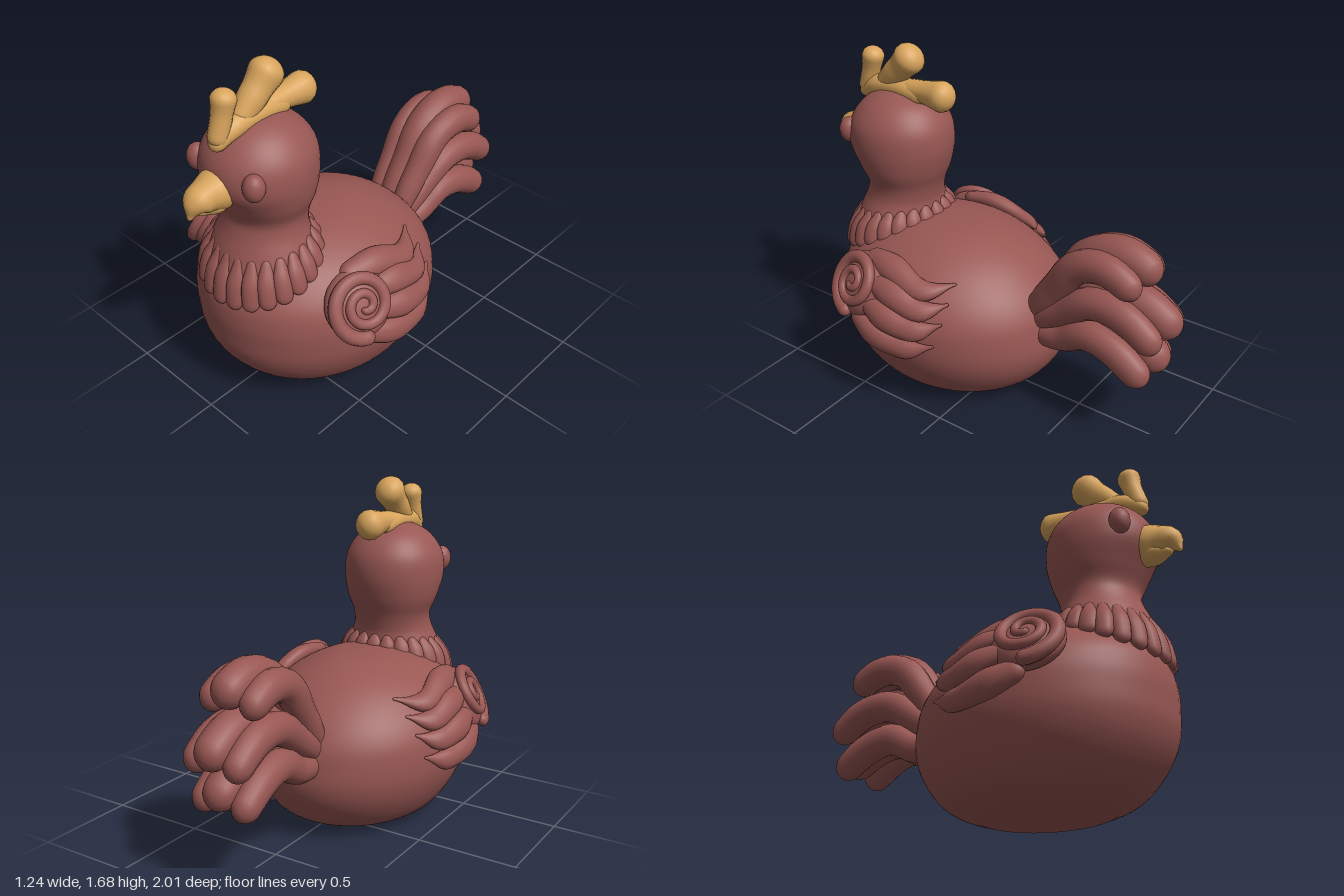
import * as THREE from 'three';

const V = (x, y, z) => new THREE.Vector3(x, y, z);
const red = new THREE.MeshStandardMaterial({ color: 0x985753 });
red.name = 'clayRed';
const gold = new THREE.MeshStandardMaterial({ color: 0xd8a45c });
gold.name = 'ochre';

// Smooth skin over a list of closed rings (counterclockwise around the direction of travel).
function skin(rings) {
  const n = rings[0].length, pos = [], idx = [];
  rings.forEach(r => r.forEach(p => pos.push(p.x, p.y, p.z)));
  for (let i = 0; i < rings.length - 1; i++) for (let j = 0; j < n; j++) {
    const a = i * n + j, b = i * n + (j + 1) % n;
    idx.push(a, b, a + n, b, b + n, a + n);
  }
  const g = new THREE.BufferGeometry();
  g.setAttribute('position', new THREE.Float32BufferAttribute(pos, 3));
  g.setIndex(idx);
  g.computeVertexNormals();
  return g;
}

function add(parent, name, geometry, material) {
  const m = new THREE.Mesh(geometry, material);
  m.name = name;
  parent.add(m);
  return m;
}

// A station is [frontY, frontZ, backY, backZ, halfWidth].
function stationPoint([yF, zF, yB, zB, w], a) {
  const c = Math.cos(a) / 2;
  return V(w * Math.sin(a), (yF + yB) / 2 + c * (yF - yB), (zF + zB) / 2 + c * (zF - zB));
}

function loft(stations, steps, sides) {
  const front = new THREE.CatmullRomCurve3(stations.map(s => V(s[4], s[0], s[1])), false, 'catmullrom');
  const back = new THREE.CatmullRomCurve3(stations.map(s => V(s[4], s[2], s[3])), false, 'catmullrom');
  const rings = [];
  for (let i = 0; i <= steps; i++) {
    const f = front.getPoint(i / steps), b = back.getPoint(i / steps);
    const st = [f.y, f.z, b.y, b.z, Math.max(f.x, 0)];
    rings.push(Array.from({ length: sides }, (_, j) => stationPoint(st, j / sides * Math.PI * 2)));
  }
  return skin(rings);
}

// Rounded tapering sweep; depth scales the section along ref.
function sweep(points, radii, ref, depth = 1, steps = 30, sides = 16) {
  const curve = new THREE.CatmullRomCurve3(points), len = curve.getLength(), rings = [];
  const cap = (d, r) => d >= r ? 1 : Math.sqrt(Math.max(0, 1 - (1 - d / r) ** 2));
  for (let i = 0; i <= steps; i++) {
    const u = (1 - Math.cos(Math.PI * i / steps)) / 2;
    const k = u * (radii.length - 1), i0 = Math.min(Math.floor(k), radii.length - 2);
    const r0 = THREE.MathUtils.lerp(radii[i0], radii[i0 + 1], THREE.MathUtils.smoothstep(k - i0, 0, 1));
    const r = Math.max(r0 * cap(u * len, r0) * cap((1 - u) * len, r0), 0.0005);
    const p = curve.getPointAt(u), t = curve.getTangentAt(u);
    const n = ref.clone().addScaledVector(t, -ref.dot(t)).normalize();
    const b = t.clone().cross(n);
    rings.push(Array.from({ length: sides }, (_, j) => {
      const a = j / sides * Math.PI * 2;
      return p.clone().addScaledVector(n, Math.cos(a) * r * depth).addScaledVector(b, Math.sin(a) * r);
    }));
  }
  return skin(rings);
}

const flat = (y, zF, zB, w) => [y, zF, y, zB, w];
const bodyStations = [
  flat(0, 0.60, -0.07, 0.28), flat(0.04, 0.69, -0.18, 0.37), flat(0.1, 0.765, -0.26, 0.435),
  flat(0.2, 0.84, -0.33, 0.495), flat(0.3, 0.88, -0.36, 0.53), flat(0.4, 0.89, -0.355, 0.54),
  flat(0.5, 0.89, -0.33, 0.53), flat(0.6, 0.865, -0.265, 0.485), flat(0.7, 0.78, -0.155, 0.395),
  flat(0.77, 0.67, -0.03, 0.285), flat(0.815, 0.53, 0.11, 0.155), flat(0.83, 0.3, 0.3, 0),
];

// Point on the flank at height y and depth z, raised by h along the surface normal.
function flank(y, z, h = 0) {
  const at = (yy, zz) => {
    let i = 0;
    while (i < bodyStations.length - 2 && bodyStations[i + 1][0] < yy) i++;
    const A = bodyStations[i], B = bodyStations[i + 1], k = (yy - A[0]) / (B[0] - A[0]);
    const [, f, , b, w] = A.map((v, j) => v + (B[j] - v) * k);
    const q = (zz - (f + b) / 2) / ((f - b) / 2);
    return V(w * Math.sqrt(Math.max(0, 1 - q * q)), yy, zz);
  };
  const e = 0.03;
  const normal = at(y + e, z).sub(at(y - e, z)).cross(at(y, z + e).sub(at(y, z - e))).normalize();
  return { p: at(y, z).addScaledVector(normal, h), normal };
}

function makeWing(s, name) {
  const wing = new THREE.Group();
  wing.name = name;
  const side = v => V(v.x * s, v.y, v.z);

  // shoulder dome
  const { p: c, normal: n } = flank(0.59, 0.48, 0.01);
  const e1 = V(0, 0, 1).addScaledVector(n, -n.z).normalize();
  const e2 = e1.clone().cross(n).negate().normalize();
  if (e2.y < 0) e2.negate();
  const dome = add(wing, 'shoulder', new THREE.SphereGeometry(1, 32, 20), red);
  dome.position.copy(side(c));
  dome.quaternion.setFromUnitVectors(V(0, 0, 1), side(n));
  dome.scale.set(0.165, 0.165, 0.075);

  // spiral curl
  const curl = [];
  for (let i = 0; i <= 36; i++) {
    const k = i / 36, a = -Math.PI / 2 + k * Math.PI * 4.4, r = 0.145 * (1 - k) + 0.012;
    const h = 0.066 * Math.sqrt(1 - (r / 0.175) ** 2) + 0.008;
    curl.push(side(c.clone().addScaledVector(e1, r * Math.cos(a)).addScaledVector(e2, r * Math.sin(a)).addScaledVector(n, h)));
  }
  add(wing, 'shoulderCurl', sweep(curl, [0.036, 0.034, 0.03, 0.024, 0.02], side(n), 0.9, 110, 12), red);

  // overlapping feathers, each path as [z, y]
  const feathers = [
    [[0.50, 0.69], [0.32, 0.69], [0.14, 0.645], [0.01, 0.68]],
    [[0.42, 0.62], [0.27, 0.61], [0.12, 0.575], [0.00, 0.61]],
    [[0.42, 0.54], [0.27, 0.51], [0.12, 0.49], [0.00, 0.53]],
    [[0.49, 0.46], [0.34, 0.41], [0.17, 0.385], [0.02, 0.425]],
  ];
  feathers.forEach(path => {
    const pts = path.map(([z, y], i) => side(flank(y, z, [0.035, 0.035, 0.025, 0.02][i]).p));
    const ref = side(flank(path[1][1], path[1][0]).normal);
    add(wing, 'wingFeather', sweep(pts, [0.05, 0.068, 0.056, 0.008], ref, 0.7), red);
  });
  return wing;
}

export function createModel() {
  const model = new THREE.Group();
  model.name = 'hen';
  const X = V(1, 0, 0);
  const path = (x, list) => list.map(([y, z]) => V(x, y, z));

  // body and flat base
  add(model, 'body', loft(bodyStations, 66, 64), red);
  const base = add(model, 'base', new THREE.CircleGeometry(1, 64), red);
  base.rotation.x = Math.PI / 2;
  base.position.set(0, 0, 0.265);
  base.scale.set(0.28, 0.335, 1);

  // neck and head in one skin
  add(model, 'neckAndHead', loft([
    [0.50, 0.78, 0.66, 0.45, 0.2], [0.62, 0.865, 0.77, 0.385, 0.275], [0.71, 0.86, 0.81, 0.39, 0.27],
    [0.81, 0.825, 0.87, 0.40, 0.235], flat(0.91, 0.78, 0.40, 0.208), flat(0.98, 0.768, 0.385, 0.207),
    flat(1.07, 0.81, 0.352, 0.24), flat(1.18, 0.865, 0.33, 0.258), flat(1.29, 0.855, 0.343, 0.246),
    flat(1.38, 0.79, 0.405, 0.185), flat(1.432, 0.70, 0.50, 0.1), flat(1.45, 0.6, 0.6, 0),
  ], 66, 56), red);

  // scalloped neck ruff
  const ruff = new THREE.Group();
  ruff.name = 'neckRuff';
  model.add(ruff);
  for (let i = 0; i < 22; i++) {
    const a = i / 22 * Math.PI * 2;
    const tip = stationPoint([0.575, 0.885, 0.77, 0.365, 0.3], a);
    const mid = stationPoint([0.69, 0.865, 0.815, 0.385, 0.275], a);
    const top = stationPoint([0.82, 0.81, 0.88, 0.41, 0.222], a);
    add(ruff, 'ruffFeather', sweep([top, mid, tip], [0.022, 0.042, 0.04], V(Math.sin(a), 0.3, Math.cos(a)), 0.65, 18, 12), red);
  }

  // eyes and wings
  for (const s of [1, -1]) {
    const eye = add(model, s > 0 ? 'leftEye' : 'rightEye', new THREE.SphereGeometry(1, 24, 16), red);
    eye.position.set(0.178, 1.24, 0.79).multiply(V(s, 1, 1));
    eye.scale.set(0.05, 0.065, 0.05);
    model.add(makeWing(s, s > 0 ? 'leftWing' : 'rightWing'));
  }

  // beak
  add(model, 'upperBeak', sweep(path(0, [[1.17, 0.74], [1.182, 0.88], [1.16, 0.96], [1.10, 1.0]]), [0.09, 0.096, 0.07, 0.012], X), gold);
  add(model, 'lowerBeak', sweep(path(0, [[1.14, 0.76], [1.13, 0.86], [1.115, 0.96]]), [0.05, 0.056, 0.02], X, 1.2), gold);

  // comb
  add(model, 'combBase', sweep(path(0, [[1.375, 0.85], [1.435, 0.74], [1.45, 0.6], [1.43, 0.42]]), [0.035, 0.055, 0.055, 0.05], X, 1.1), gold);
  add(model, 'combFrontLobe', sweep(path(0, [[1.38, 0.825], [1.5, 0.785], [1.625, 0.755]]), [0.045, 0.047, 0.062], X), gold);
  add(model, 'combMiddleLobe', sweep(path(0, [[1.43, 0.72], [1.53, 0.61], [1.655, 0.485]]), [0.05, 0.068, 0.092], X, 0.95), gold);
  add(model, 'combBackLobe', sweep(path(0, [[1.43, 0.7], [1.455, 0.48], [1.455, 0.27]]), [0.045, 0.055, 0.085], X, 0.95), gold);

  // tail: three tiers of a centre plume flanked by two lower ones
  const tail = new THREE.Group();
  tail.name = 'tail';
  model.add(tail);
  const tiers = [
    [[0.48, -0.24], [0.72, -0.41], [0.88, -0.54], [0.93, -0.70], [0.87, -0.88]],
    [[0.44, -0.24], [0.59, -0.44], [0.71, -0.62], [0.72, -0.80], [0.62, -0.995]],
    [[0.40, -0.24], [0.44, -0.44], [0.53, -0.60], [0.52, -0.76], [0.42, -0.95]],
  ];
  tiers.forEach(tier => {
    add(tail, 'centrePlume', sweep(path(0, tier), [0.06, 0.078, 0.092, 0.092, 0.085], X, 0.95), red);
    for (const s of [1, -1]) {
      const pts = tier.map(([y, z], i) => V(s * (0.075 + 0.009 * i), y - 0.013 * i, z + 0.011 * i));
      add(tail, 'sidePlume', sweep(pts, [0.055, 0.07, 0.08, 0.08, 0.07], X, 0.9), red);
    }
  });
  return model;
}
